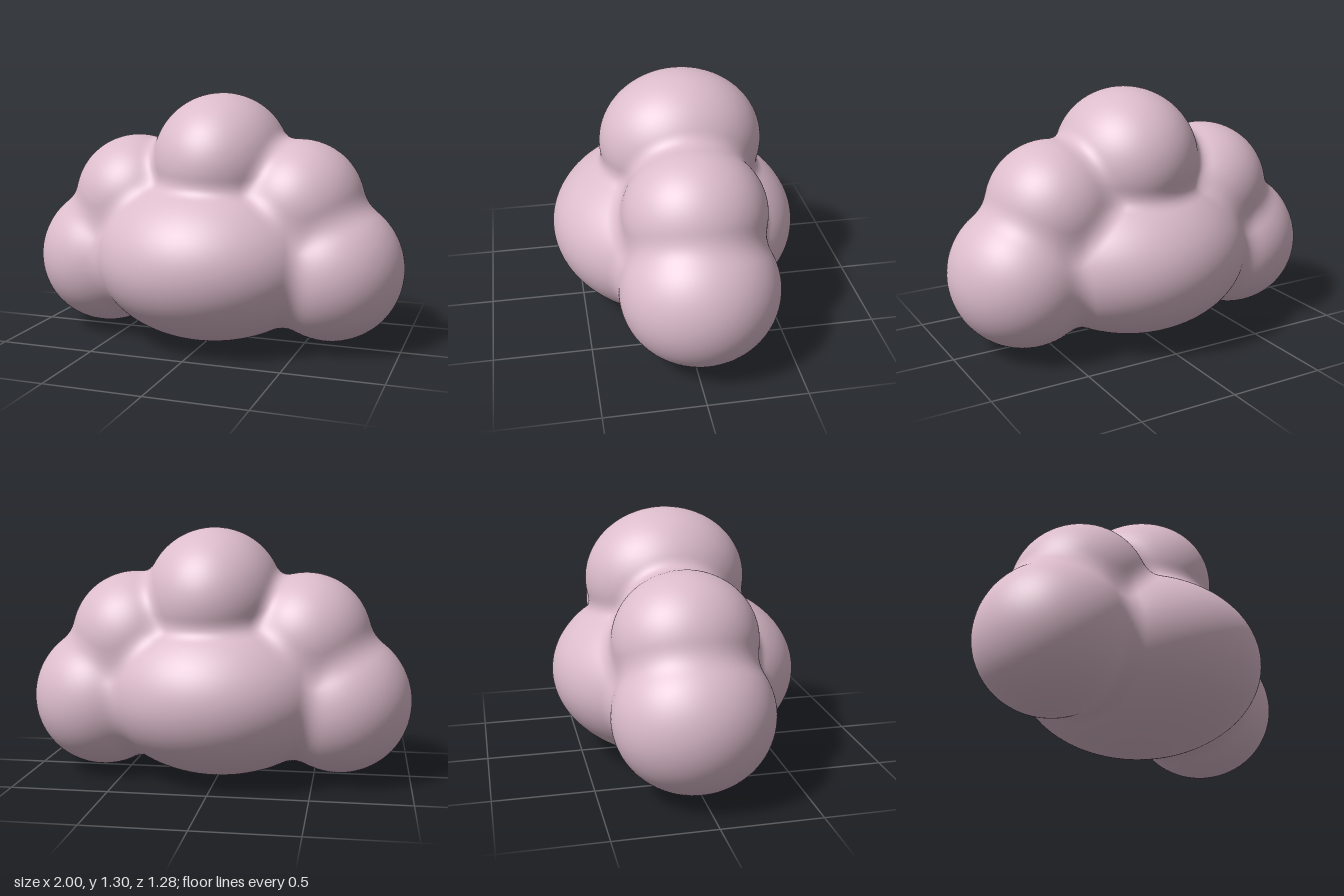
import * as THREE from 'three';
import { mergeVertices } from 'three/addons/utils/BufferGeometryUtils.js';

// Puffs of the cloud: centre and radii of each ellipsoid
const puffs = [
  { c: [0, 0.455, 0], r: [0.63, 0.45, 0.64] },          // wide belly
  { c: [0.03, 0.94, -0.035], r: [0.36, 0.365, 0.415] }, // crown
];
for (const s of [-1, 1]) {
  puffs.push({ c: [s * 0.625, 0.41, -0.033], r: [0.375, 0.375, 0.397] }); // side puff
  puffs.push({ c: [s * 0.45, 0.735, -0.035], r: [0.34, 0.34, 0.36] });    // shoulder puff
}
const BLEND = 0.07;

// Approximate distance from a point to an ellipsoid
function ellipsoidDistance(p, { c, r }) {
  const x = p.x - c[0], y = p.y - c[1], z = p.z - c[2];
  const k0 = Math.hypot(x / r[0], y / r[1], z / r[2]);
  const k1 = Math.hypot(x / r[0] ** 2, y / r[1] ** 2, z / r[2] ** 2);
  return k1 < 1e-6 ? -Math.min(...r) : (k0 * (k0 - 1)) / k1;
}

// Union of all puffs with softly filleted creases
function cloudDistance(p) {
  let d = Infinity;
  for (const puff of puffs) {
    const e = ellipsoidDistance(p, puff);
    const h = Math.max(BLEND - Math.abs(d - e), 0);
    d = Math.min(d, e) - (h * h) / (4 * BLEND);
  }
  return d;
}

// Shrink-wrap a fine sphere inwards onto the blended puffs
function cloudGeometry() {
  const raw = new THREE.IcosahedronGeometry(1, 56);
  raw.deleteAttribute('normal');
  raw.deleteAttribute('uv');
  const geometry = mergeVertices(raw, 1e-5);
  const pos = geometry.attributes.position;
  const centre = new THREE.Vector3(0, 0.56, -0.02);
  const dir = new THREE.Vector3(), p = new THREE.Vector3();
  for (let i = 0; i < pos.count; i++) {
    dir.fromBufferAttribute(pos, i).normalize();
    let t = 1.4;
    for (let step = 0; step < 70; step++) {
      const d = cloudDistance(p.copy(centre).addScaledVector(dir, t));
      if (Math.abs(d) < 2e-4) break;
      t -= d * 0.8;
    }
    p.copy(centre).addScaledVector(dir, t);
    pos.setXYZ(i, p.x, p.y, p.z);
  }
  geometry.computeVertexNormals();
  return geometry;
}

export function createModel() {
  const group = new THREE.Group();
  group.name = 'cloud';
  const pink = new THREE.MeshStandardMaterial({ color: 0xdcbccb });
  pink.name = 'dusty pink';
  const body = new THREE.Mesh(cloudGeometry(), pink);
  body.name = 'cloudPuffs';
  group.add(body);
  return group;
}
